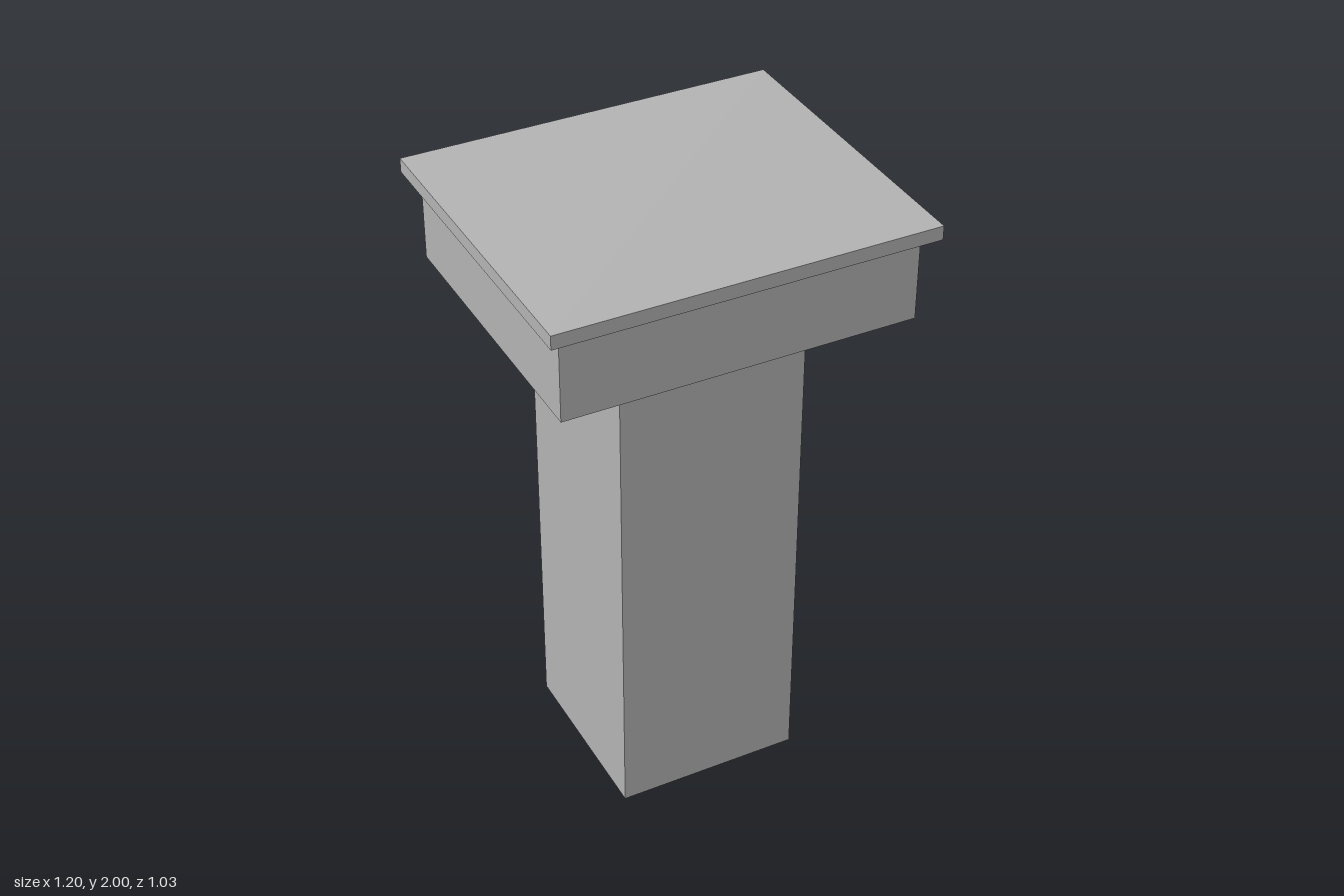
import * as THREE from 'three';

export function createModel() {
  const model = new THREE.Group();
  model.name = 'pedestal';

  const grey = new THREE.MeshStandardMaterial({ color: 0xb2b2b2 });
  grey.name = 'stone grey';

  // Box given by its width, depth and the heights of its bottom and top
  function addBlock(name, width, depth, bottom, top) {
    const mesh = new THREE.Mesh(new THREE.BoxGeometry(width, top - bottom, depth), grey);
    mesh.name = name;
    mesh.position.y = (bottom + top) / 2;
    model.add(mesh);
  }

  addBlock('column', 0.6, 0.6, 0, 1.68);
  addBlock('capital', 1.115, 0.94, 1.68, 1.934);
  // The top slab sits just clear of the capital
  addBlock('topSlab', 1.2, 1.034, 1.955, 2);

  return model;
}
